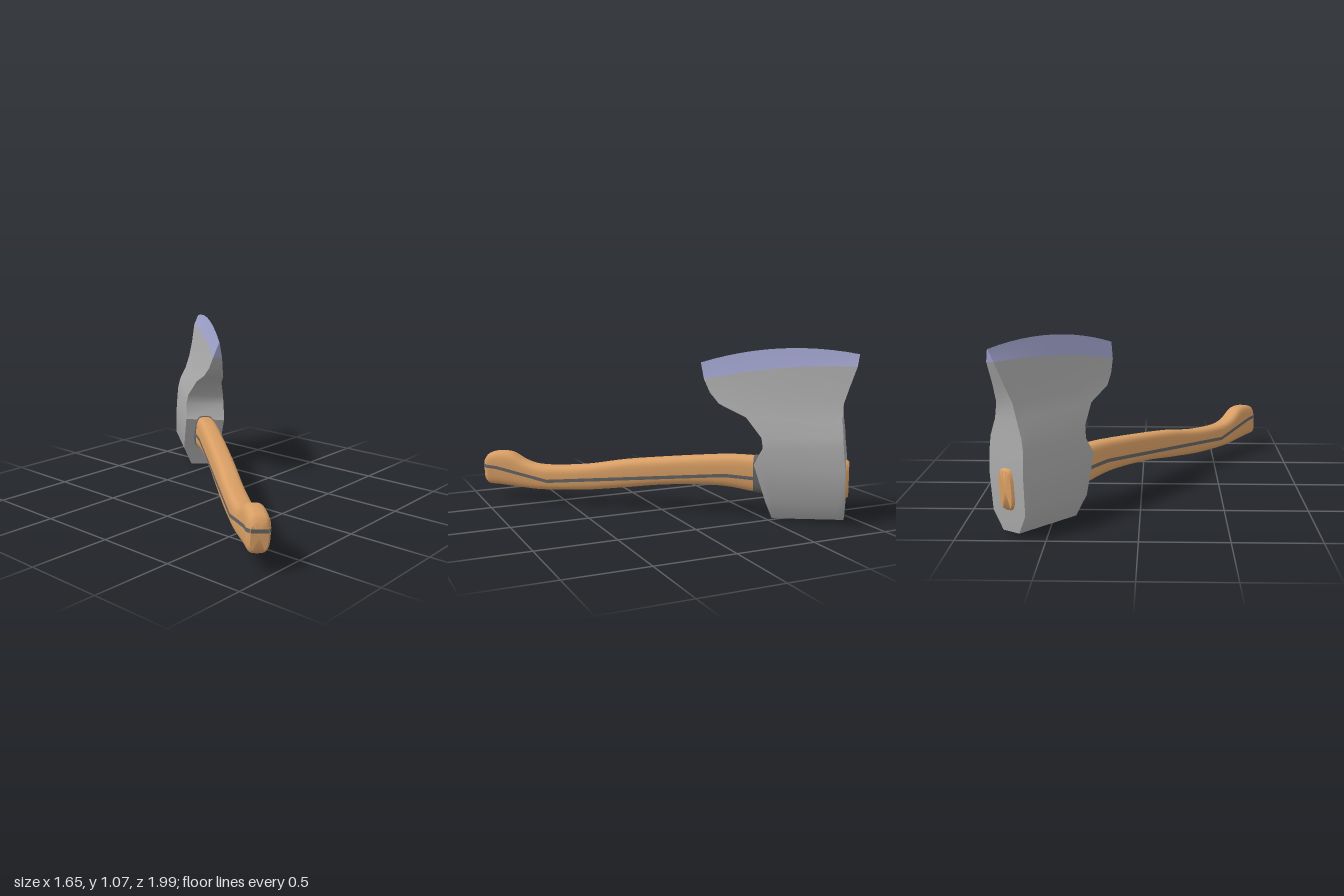
import * as THREE from 'three';
import { toCreasedNormals } from 'three/addons/utils/BufferGeometryUtils.js';

const material = (name, color, side = THREE.FrontSide) => {
  const m = new THREE.MeshStandardMaterial({ color, side });
  m.name = name;
  return m;
};

// Skin over a list of equal-sized closed rings, with both ends capped.
function loft(rings, crease) {
  const n = rings[0].length, pos = [], idx = [];
  rings.forEach(r => r.forEach(p => pos.push(...p)));
  for (let i = 0; i < rings.length - 1; i++) {
    for (let j = 0; j < n; j++) {
      const a = i * n + j, b = i * n + (j + 1) % n;
      idx.push(a, b, b + n, a, b + n, a + n);
    }
  }
  [0, rings.length - 1].forEach((r, end) => {
    const c = pos.length / 3;
    for (let k = 0; k < 3; k++) pos.push(rings[r].reduce((sum, p) => sum + p[k], 0) / n);
    for (let j = 0; j < n; j++) {
      const a = r * n + j, b = r * n + (j + 1) % n;
      if (end) idx.push(c, a, b); else idx.push(c, b, a);
    }
  });
  const g = new THREE.BufferGeometry();
  g.setAttribute('position', new THREE.Float32BufferAttribute(pos, 3));
  g.setIndex(idx);
  return toCreasedNormals(g, crease);
}

// Straight-line lookup in rows sorted by their first value.
function lookup(rows, s) {
  let i = 1;
  while (i < rows.length - 1 && rows[i][0] < s) i++;
  const [a, b] = [rows[i - 1], rows[i]];
  const f = THREE.MathUtils.clamp((s - a[0]) / (b[0] - a[0]), 0, 1);
  return a.map((v, k) => v + (b[k] - v) * f);
}

// Handle: [distance along axe, top, bottom]
const handleKeys = [
  [-1.235, .28, .125], [-1.21, .31, .105], [-1.14, .328, .1], [-1.05, .324, .093],
  [-.95, .272, .087], [-.85, .247, .082], [-.54, .263, .096], [-.25, .312, .13],
  [.01, .343, .165], [.3, .372, .182], [.45, .383, .177], [.6, .382, .155],
  [.72, .38, .145], [1.165, .38, .145], [1.18, .37, .155],
];
const handleRows = new THREE.CatmullRomCurve3(handleKeys.map(k => new THREE.Vector3(...k)))
  .getPoints(84).map(p => p.toArray());
const ROUND = 3.4;

function section(s) {
  const [, top, bottom] = lookup(handleRows, s);
  const d = Math.min(s + 1.235, 1.18 - s);
  return { mid: (top + bottom) / 2, hh: (top - bottom) / 2, hw: .064 * Math.min(1, .75 + d * 10) };
}

// Rounded-rectangle cross-section of the handle
function handleRing(s, grow = 0) {
  const { mid, hh, hw } = section(s), ring = [];
  const soft = v => Math.sign(v) * Math.abs(v) ** (2 / ROUND);
  for (let j = 0; j < 32; j++) {
    const a = j / 32 * Math.PI * 2;
    ring.push([s, mid + (hh + grow) * soft(Math.cos(a)), (hw + grow) * soft(Math.sin(a))]);
  }
  return ring;
}

// Inlay strip following one side of the handle
const stripeKeys = [[-1.232, .235], [-1.14, .228], [-.78, .152], [.42, .262], [.68, .248]];
function stripe(side) {
  const pos = [], idx = [], N = 80;
  for (let i = 0; i <= N; i++) {
    const s = -1.232 + 1.9 * i / N, y = lookup(stripeKeys, s)[1];
    const { mid, hh, hw } = section(s);
    for (const e of [-.011, .011]) {
      const d = Math.min(1, Math.abs((y + e - mid) / hh));
      pos.push(s, y + e, side * (hw * (1 - d ** ROUND) ** (1 / ROUND) + .003));
    }
    if (i < N) {
      const a = i * 2;
      if (side > 0) idx.push(a, a + 2, a + 3, a, a + 3, a + 1);
      else idx.push(a, a + 3, a + 2, a, a + 1, a + 3);
    }
  }
  const g = new THREE.BufferGeometry();
  g.setAttribute('position', new THREE.Float32BufferAttribute(pos, 3));
  g.setIndex(idx);
  g.computeVertexNormals();
  return g;
}

// Head: [heel height, poll height, bulge, heel end, poll end, half thickness]
const headRows = [
  [0, .02, 0, .72, 1.16, .065],
  [.127, .13, 0, .686, 1.165, .13],
  [.36, .34, 0, .614, 1.165, .137],
  [.46, .48, 0, .669, 1.15, .136],
  [.53, .55, 0, .658, 1.145, .125],
  [.646, .645, 0, .557, 1.135, .088],
  [.72, .735, .01, .386, 1.135, .066],
  [.785, .84, .02, .325, 1.168, .046],
  [.865, .965, .03, .285, 1.21, .03],
  [.965, 1.035, .06, .26, 1.22, .003],
];
function headRing([y0, y1, bulge, s0, s1, h]) {
  const N = 12, near = [], far = [];
  for (let i = 0; i <= N; i++) {
    const f = i / N, s = s0 + (s1 - s0) * f;
    const y = y0 + (y1 - y0) * f + bulge * 4 * f * (1 - f);
    near.push([s, y, h]);
    far.unshift([s, y, -h]);
  }
  return near.concat(far);
}

export function createModel() {
  const wood = material('wood', 0xd89e64);
  const steel = material('steel', 0xa9a9a9);
  const edge = material('honed edge', 0xa0a3cc);
  const dark = material('dark grey', 0x646464, THREE.DoubleSide);

  const axe = new THREE.Group();
  axe.name = 'axe';
  const add = (name, geometry, mat) => {
    const mesh = new THREE.Mesh(geometry, mat);
    mesh.name = name;
    axe.add(mesh);
    return mesh;
  };

  // Head and honed cutting edge
  add('axeHead', loft(headRows.slice(0, 9).map(headRing), .75), steel);
  add('cuttingEdge', loft(headRows.slice(8).map(headRing), .75), edge);

  // Handle running through the eye, with a collar where it enters
  add('handle', loft(handleRows.map(r => handleRing(r[0])), .8), wood);
  add('collar', loft([.6, .64, .68, .72].map(s => handleRing(s, .003)), .8), dark);

  // Inlay on both sides and across the butt
  add('leftStripe', stripe(1), dark);
  add('rightStripe', stripe(-1), dark);
  add('buttStripe', new THREE.BoxGeometry(.006, .022, .098), dark).position.set(-1.235, .235, 0);

  // Laid diagonally with a slight roll
  axe.rotation.set(.067, Math.atan2(.781, .624), 0, 'YXZ');
  axe.position.set(-.0335 * .781, .004, -.0335 * .624);

  const model = new THREE.Group();
  model.name = 'hatchet';
  model.add(axe);
  return model;
}
